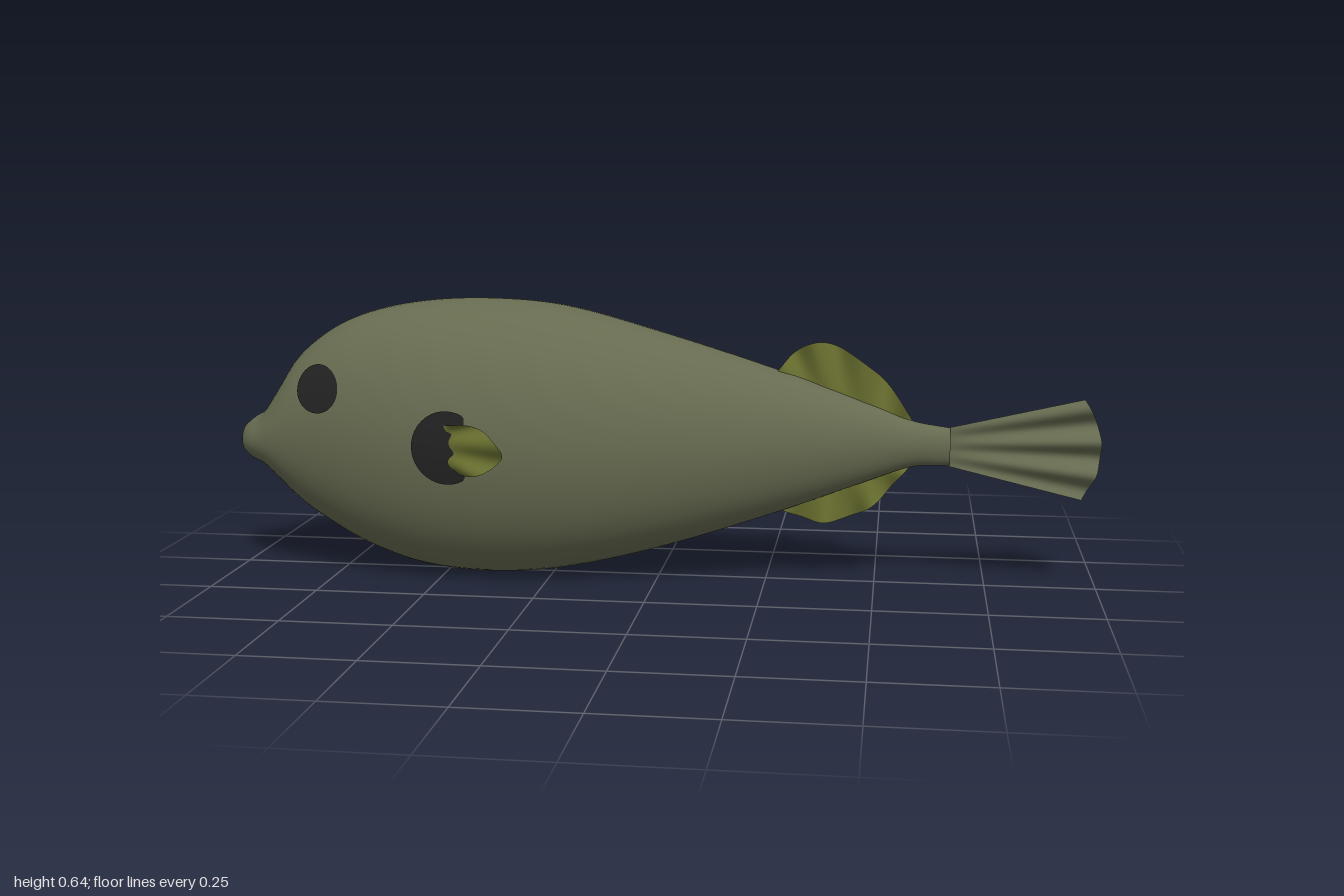
import * as THREE from 'three';
import { mergeVertices } from 'three/addons/utils/BufferGeometryUtils.js';

// Body stations: x, top, bottom, half width
const STATIONS = [
  [-1, 0.32, 0.29, 0.02], [-0.99, 0.338, 0.272, 0.046], [-0.965, 0.358, 0.255, 0.075],
  [-0.935, 0.378, 0.241, 0.094], [-0.9, 0.43, 0.207, 0.112], [-0.85, 0.506, 0.157, 0.13],
  [-0.77, 0.57, 0.102, 0.155], [-0.68, 0.61, 0.055, 0.181], [-0.55, 0.637, 0.014, 0.209],
  [-0.39, 0.645, 0.001, 0.222], [-0.22, 0.631, 0.016, 0.215], [0, 0.574, 0.069, 0.175],
  [0.28, 0.488, 0.162, 0.107], [0.49, 0.412, 0.242, 0.053], [0.58, 0.379, 0.274, 0.033],
  [0.665, 0.365, 0.279, 0.022],
];

// Smooth interpolation of the stations by x
function section(x) {
  let i = 0;
  while (i < STATIONS.length - 2 && x > STATIONS[i + 1][0]) i++;
  const p = STATIONS[i], q = STATIONS[i + 1];
  const o = STATIONS[Math.max(i - 1, 0)], r = STATIONS[Math.min(i + 2, STATIONS.length - 1)];
  const d = q[0] - p[0], t = (x - p[0]) / d, t2 = t * t, t3 = t2 * t;
  const [top, bottom, width] = [1, 2, 3].map((k) => {
    const m = ((q[k] - o[k]) / (q[0] - o[0])) * d, n = ((r[k] - p[k]) / (r[0] - p[0])) * d;
    return (2 * t3 - 3 * t2 + 1) * p[k] + (t3 - 2 * t2 + t) * m + (3 * t2 - 2 * t3) * q[k] + (t3 - t2) * n;
  });
  return { c: (top + bottom) / 2, h: (top - bottom) / 2, w: width };
}

// Half depth of the body at a point of its side
function bodyZ(x, y) {
  const { c, h, w } = section(x);
  return w * Math.sqrt(Math.max(0, 1 - ((y - c) / h) ** 2));
}

// Surface from a rule (u, v) -> [x, y, z]
function surface(nu, nv, rule) {
  const pos = [], index = [];
  for (let j = 0; j <= nv; j++) {
    for (let i = 0; i <= nu; i++) pos.push(...rule(i / nu, j / nv));
  }
  for (let j = 0; j < nv; j++) {
    for (let i = 0; i < nu; i++) {
      const a = j * (nu + 1) + i, b = a + nu + 1;
      index.push(a, a + 1, b, a + 1, b + 1, b);
    }
  }
  let g = new THREE.BufferGeometry();
  g.setAttribute('position', new THREE.Float32BufferAttribute(pos, 3));
  g.setIndex(index);
  g = mergeVertices(g, 1e-5);
  g.computeVertexNormals();
  return g;
}

const edgeCurve = (pts) => new THREE.CatmullRomCurve3(pts.map(([x, y]) => new THREE.Vector3(x, y, 0)));

export function createModel() {
  const fish = new THREE.Group();
  fish.name = 'fish';
  const mat = (name, color) => {
    const m = new THREE.MeshStandardMaterial({ color, side: THREE.DoubleSide });
    m.name = name;
    return m;
  };
  const skin = mat('oliveSkin', 0x666b50);
  const finMat = mat('yellowOliveFin', 0x6a7030);
  const dark = mat('darkSpot', 0x222222);
  const add = (name, geometry, material) => {
    const m = new THREE.Mesh(geometry, material);
    m.name = name;
    fish.add(m);
  };

  // Body, with stations packed closer at the snout
  add('body', surface(64, 90, (u, v) => {
    const x = -1 + 1.665 * (0.35 * v * v + 0.65 * v);
    const { c, h, w } = section(x), a = u * Math.PI * 2;
    return [x, c + h * Math.cos(a), w * Math.sin(a)];
  }), skin);

  // Snout tip and tail stump caps
  for (const [name, x, bulge] of [['snoutTip', -1, -1], ['tailStump', 0.665, 1]]) {
    const { c, h, w } = section(x);
    add(name, surface(32, 1, (u, v) => {
      const a = u * Math.PI * 2 * bulge;
      return [x, c + h * v * Math.cos(a), -w * v * Math.sin(a)];
    }), skin);
  }

  // Pleated tail fin, fanning out to a curved edge
  add('tailFin', surface(48, 16, (u, v) => {
    const s = 2 * u - 1;
    const endX = 0.96 + 0.04 * (1 - s * s);
    return [
      THREE.MathUtils.lerp(0.655, endX, v),
      0.321 + s * THREE.MathUtils.lerp(0.043, 0.115, v),
      0.012 * v * Math.sin(s * Math.PI * 3),
    ];
  }), skin);

  // Wavy dorsal and anal fins rooted inside the body
  const medianFins = {
    dorsalFin: [[0.27, 0.485], [0.31, 0.53], [0.36, 0.555], [0.42, 0.54], [0.49, 0.493], [0.545, 0.435], [0.585, 0.37]],
    analFin: [[0.28, 0.17], [0.33, 0.147], [0.39, 0.139], [0.46, 0.16], [0.51, 0.195], [0.55, 0.245], [0.585, 0.285]],
  };
  for (const [name, pts] of Object.entries(medianFins)) {
    const edge = edgeCurve(pts), dorsal = name === 'dorsalFin';
    add(name, surface(48, 10, (u, v) => {
      const e = edge.getPoint(u), x = THREE.MathUtils.lerp(0.3, 0.58, u);
      const { c, h } = section(x);
      const y = c + (dorsal ? 1 : -1) * h * 0.85;
      return [
        THREE.MathUtils.lerp(x, e.x, v), THREE.MathUtils.lerp(y, e.y, v),
        0.013 * v * Math.sin(u * Math.PI * 7 + 1),
      ];
    }), finMat);
  }

  // Paired parts on both sides
  const pectoralEdge = edgeCurve([
    [-0.455, 0.382], [-0.4, 0.386], [-0.345, 0.365], [-0.312, 0.325], [-0.345, 0.288], [-0.4, 0.27], [-0.455, 0.282],
  ]);
  for (const [side, s] of [['left', -1], ['right', 1]].map(([n, k]) => [n, -k])) {
    const z = s * -1;
    // Thin painted disc following the side of the body, cut off behind maxX
    const spot = (cx, cy, rx, ry, maxX) => surface(40, 6, (u, v) => {
      const a = u * Math.PI * 2;
      const x = Math.min(cx + rx * v * Math.cos(a), maxX), y = cy + ry * v * Math.sin(a);
      return [x, y, z * (bodyZ(x, y) + 0.003)];
    });
    add(side + 'Eye', spot(-0.77, 0.445, 0.054, 0.054, 0), dark);
    add(side + 'FinSpot', spot(-0.45, 0.33, 0.081, 0.083, -0.408), dark);

    // Pleated pectoral fin sweeping back and outward
    add(side + 'PectoralFin', surface(40, 10, (u, v) => {
      const e = pectoralEdge.getPoint(u);
      const x = THREE.MathUtils.lerp(-0.455, e.x, v);
      const y = THREE.MathUtils.lerp(0.382 - 0.1 * u, e.y, v);
      const pleat = 0.009 * v * Math.sin(u * Math.PI * 6);
      return [x, y, z * (0.218 + (x + 0.455) * 0.3 + pleat)];
    }), finMat);
  }
  return fish;
}
